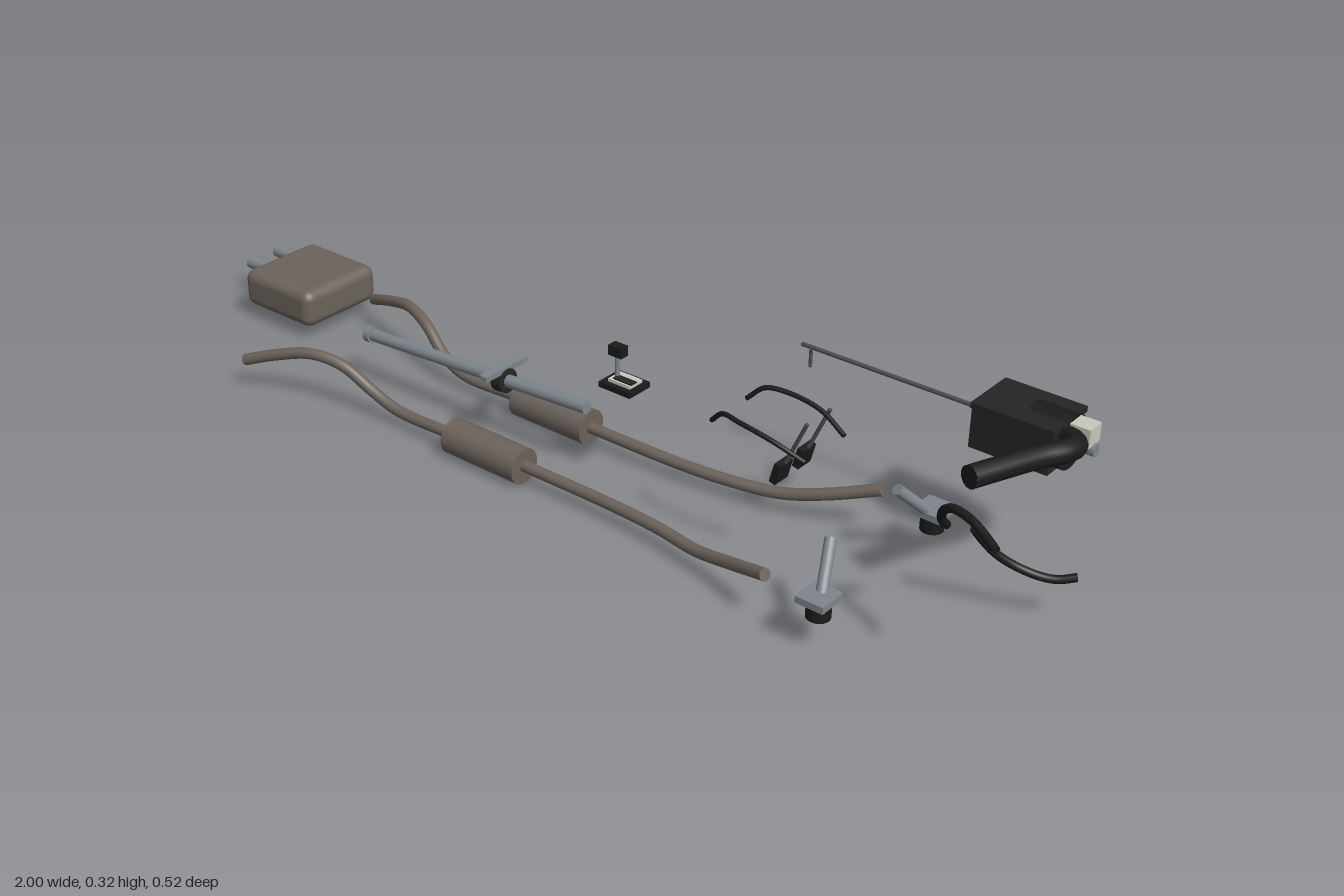
import * as THREE from 'three';
import { RoundedBoxGeometry } from 'three/addons/geometries/RoundedBoxGeometry.js';

export function createModel() {
  const root = new THREE.Group();
  root.name = 'carUndersideParts';
  const mat = (name, color) => {
    const m = new THREE.MeshStandardMaterial({ color });
    m.name = name;
    return m;
  };
  const exhaust = mat('warm grey exhaust', 0x6c635b);
  const steel = mat('steel grey', 0x7d858c);
  const black = mat('black rubber', 0x1b1b1b);
  const plastic = mat('dark plastic', 0x252525);
  const darkSteel = mat('dark steel', 0x4c4e50);
  const cream = mat('pale cream', 0xc9c8bc);

  const V = (p) => new THREE.Vector3(...p);
  const add = (name, geo, material, pos, parent = root) => {
    const m = new THREE.Mesh(geo, material);
    m.name = name;
    if (pos) m.position.set(...pos);
    parent.add(m);
    return m;
  };
  const box = (name, size, pos, material, parent) =>
    add(name, new THREE.BoxGeometry(...size), material, pos, parent);
  // Closed rod between two points
  const rod = (name, a, b, r, material, parent = root, sides = 20, r2 = r) => {
    const A = V(a), B = V(b), d = B.clone().sub(A);
    const m = add(name, new THREE.CylinderGeometry(r2, r, d.length(), sides), material, null, parent);
    m.position.copy(A.add(B).multiplyScalar(0.5));
    m.quaternion.setFromUnitVectors(new THREE.Vector3(0, 1, 0), d.normalize());
    return m;
  };
  // Bent pipe with flat end caps
  const pipe = (name, pts, r, material, parent = root, seg = 64) => {
    const curve = new THREE.CatmullRomCurve3(pts.map(V), false, 'centripetal');
    const g = new THREE.Group();
    g.name = name;
    parent.add(g);
    add(name + 'Bend', new THREE.TubeGeometry(curve, seg, r, 14), material, null, g);
    for (const t of [0, 1]) {
      const cap = add(name + 'End', new THREE.CircleGeometry(r, 14), material, null, g);
      cap.position.copy(curve.getPointAt(t));
      const dir = curve.getTangentAt(t).multiplyScalar(t ? 1 : -1);
      cap.quaternion.setFromUnitVectors(new THREE.Vector3(0, 0, 1), dir);
    }
    return g;
  };

  const MID = 0.058; // centre line of the paired parts

  // Rear muffler with two outlets
  add('muffler', new RoundedBoxGeometry(0.2, 0.082, 0.202, 4, 0.022), exhaust, [-0.82, 0.07, -0.078]);
  for (const z of [-0.147, -0.07]) rod('mufflerTip', [-1, 0.073, z], [-0.9, 0.073, z], 0.0145, steel);

  for (const s of [1, -1]) {
    const z = (o) => MID + s * o;

    // Exhaust pipe and its silencer
    pipe('exhaustPipe', [
      [-0.672, 0.065, z(0.18)], [-0.6, 0.092, z(0.159)], [-0.52, 0.112, z(0.137)],
      [-0.455, 0.1, z(0.117)], [-0.39, 0.058, z(0.1)], [-0.33, 0.036, z(0.095)],
      [-0.18, 0.037, z(0.096)], [0.2, 0.038, z(0.096)], [0.32, 0.04, z(0.105)],
      [0.42, 0.044, z(0.124)], [0.5, 0.064, z(0.143)], [0.6, 0.098, z(0.175)],
    ], 0.0115, exhaust, root, 120);
    rod('silencer', [-0.18, 0.037, z(0.096)], [0, 0.037, z(0.096)], 0.0355, exhaust, root, 36);

    // Engine mount: plate, rubber block and angled arm
    const mount = new THREE.Group();
    mount.name = 'engineMount';
    root.add(mount);
    box('mountPlate', [0.055, 0.013, 0.058], [0.706, 0.1, z(0.175)], steel, mount);
    rod('mountRubber', [0.706, 0.062, z(0.173)], [0.706, 0.096, z(0.173)], 0.0215, black, mount);
    rod('mountArm', [0.706, 0.095, z(0.168)], [0.674, 0.163, z(0.1)], 0.0105, steel, mount);

    // Small heater hose
    pipe('thinHose', [
      [0.39, 0.259, z(0.05)], [0.42, 0.286, z(0.06)], [0.46, 0.288, z(0.069)],
      [0.53, 0.278, z(0.07)], [0.588, 0.254, z(0.058)],
    ], 0.0045, black);
  }

  // Propeller shaft with bearing and cross support
  rod('propShaft', [-0.49, 0.111, MID], [0.07, 0.146, MID], 0.0125, steel);
  rod('shaftFlange', [-0.503, 0.11, MID], [-0.488, 0.111, MID], 0.0165, steel);
  rod('shaftBearing', [-0.148, 0.1325, MID], [-0.124, 0.134, MID], 0.0245, plastic);
  box('crossSupport', [0.018, 0.011, 0.115], [-0.136, 0.157, MID], steel);

  // Gear lever on its base
  box('leverBase', [0.072, 0.011, 0.058], [0.151, 0.22, 0.05], black);
  box('leverTopPlate', [0.05, 0.006, 0.036], [0.153, 0.2285, 0.05], cream);
  box('leverGate', [0.042, 0.003, 0.016], [0.157, 0.2325, 0.056], plastic);
  rod('leverStem', [0.135, 0.225, 0.05], [0.135, 0.282, 0.05], 0.0045, steel);
  box('leverKnob', [0.03, 0.02, 0.02], [0.136, 0.284, 0.05], black);

  // Pair of pedals
  for (const z of [-0.149, -0.077]) {
    const pad = box('pedalPad', [0.014, 0.042, 0.04], [0.413, 0.084, z], black);
    pad.rotation.z = -0.25;
    rod('pedalArm', [0.417, 0.092, z], [0.463, 0.197, z], 0.0038, darkSteel, root, 10);
  }

  // Heater box with lid, fan drum and control rod
  box('heaterBox', [0.15, 0.08, 0.11], [0.817, 0.266, -0.202], plastic);
  box('heaterLid', [0.156, 0.011, 0.116], [0.818, 0.307, -0.202], plastic);
  rod('fanDrum', [0.825, 0.268, -0.207], [0.902, 0.268, -0.207], 0.05, black, root, 32);
  box('fanConnector', [0.042, 0.035, 0.038], [0.919, 0.295, -0.206], cream);
  rod('fanShaft', [0.9, 0.268, -0.207], [0.945, 0.268, -0.207], 0.0115, steel, root, 8);
  rod('controlRod', [0.355, 0.268, -0.21], [0.76, 0.268, -0.21], 0.0042, darkSteel, root, 10);
  rod('controlPin', [0.377, 0.23, -0.207], [0.377, 0.268, -0.207], 0.0035, darkSteel, root, 10);

  // Wide air hose
  pipe('airHose', [
    [0.857, 0.303, 0.055], [0.88, 0.301, -0.01], [0.905, 0.298, -0.08], [0.927, 0.295, -0.13],
    [0.928, 0.292, -0.162], [0.905, 0.289, -0.182], [0.86, 0.287, -0.185],
  ], 0.0205, black);

  // Upper and lower radiator hoses
  pipe('upperHose', [
    [0.853, 0.238, 0.106], [0.857, 0.262, 0.131], [0.868, 0.29, 0.148], [0.892, 0.31, 0.162],
    [0.93, 0.311, 0.174], [0.965, 0.303, 0.189], [0.992, 0.297, 0.205],
  ], 0.0075, black);
  pipe('lowerHose', [
    [0.855, 0.187, 0.016], [0.863, 0.162, 0], [0.88, 0.132, -0.02], [0.907, 0.107, -0.043],
    [0.942, 0.093, -0.062], [0.968, 0.091, -0.075], [0.995, 0.099, -0.09],
  ], 0.0075, black);

  return root;
}
